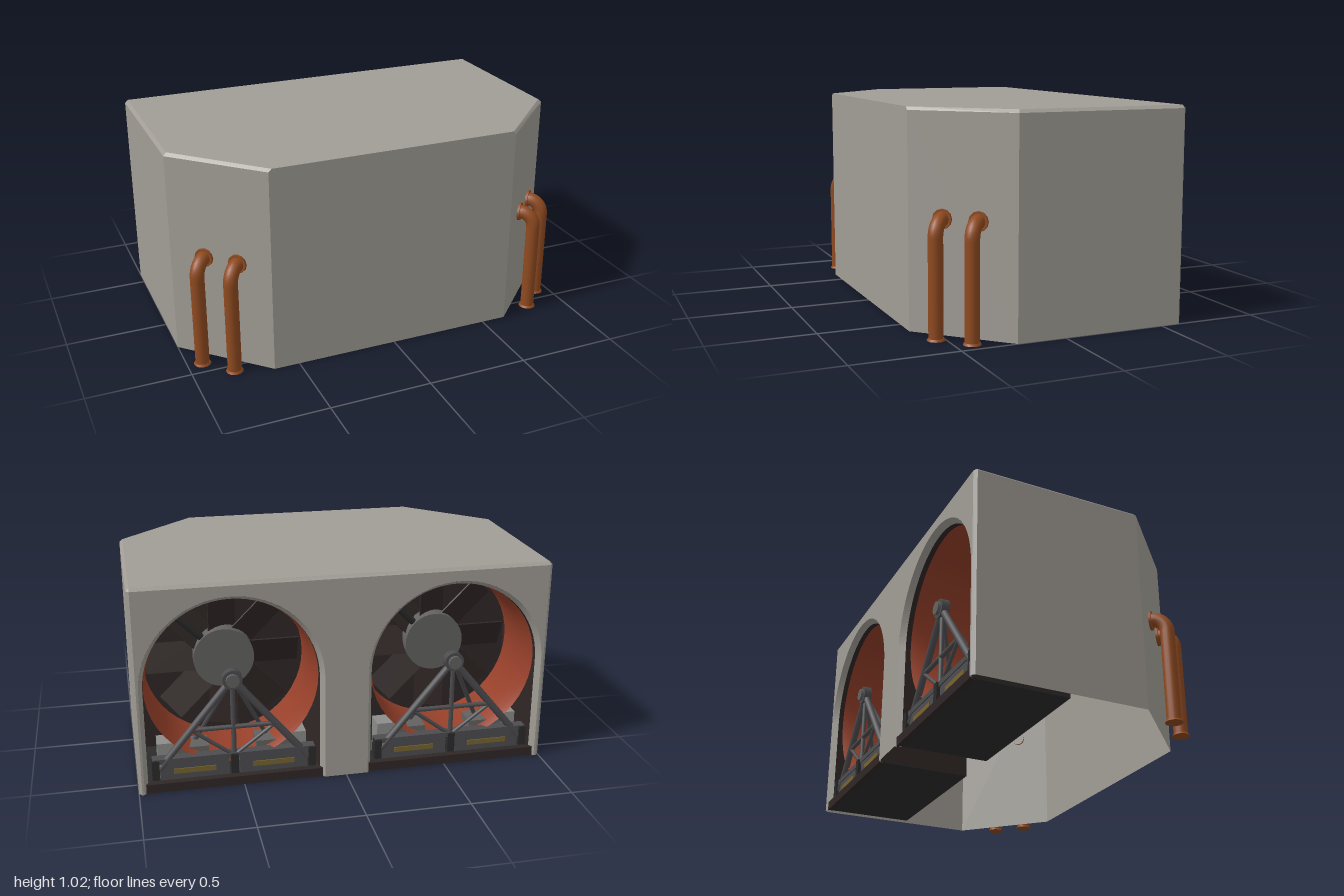
import * as THREE from 'three';

const mat = (name, color, side = THREE.FrontSide) => {
  const m = new THREE.MeshStandardMaterial({ color, side });
  m.name = name;
  return m;
};

export function createModel() {
  const model = new THREE.Group();
  model.name = 'fanHousing';
  const D = THREE.DoubleSide;
  const concrete = mat('concrete grey', 0xa19d96, D);
  const copper = mat('copper brown', 0x8f4a20);
  const rust = mat('rust red', 0x97402a, D);
  const dark = mat('dark lining', 0x302726, D);
  const floorMat = mat('floor charcoal', 0x2b2b2b);
  const steel = mat('strut steel', 0x4d4d50);
  const hubGrey = mat('hub grey', 0x636261);
  const lightGrey = mat('light grey', 0x8c8c8a);
  const brass = mat('dull brass', 0x76642e);

  const add = (parent, name, geo, material, x = 0, y = 0, z = 0) => {
    const m = new THREE.Mesh(geo, material);
    m.name = name;
    m.position.set(x, y, z);
    parent.add(m);
    return m;
  };
  const box = (parent, name, w, h, d, material, x, y, z) =>
    add(parent, name, new THREE.BoxGeometry(w, h, d), material, x, y, z);
  const disc = (parent, name, r, d, material, x, y, z, sides = 32) =>
    add(parent, name, new THREE.CylinderGeometry(r, r, d, sides).rotateX(Math.PI / 2), material, x, y, z);
  const strut = (parent, name, a, b, r, material) => {
    const p = new THREE.Vector3(...a), q = new THREE.Vector3(...b);
    const dir = q.clone().sub(p);
    const m = add(parent, name, new THREE.CylinderGeometry(r, r, dir.length(), 8), material);
    m.position.copy(p).add(q).multiplyScalar(0.5);
    m.quaternion.setFromUnitVectors(new THREE.Vector3(0, 1, 0), dir.normalize());
    return m;
  };
  // Flat or smooth strip between two equal rows of points
  const strip = (a, b, smooth = false) => {
    const pos = [], idx = [];
    a.forEach((p, i) => pos.push(...p, ...b[i]));
    for (let i = 0; i < a.length - 1; i++) {
      const k = i * 2;
      idx.push(k, k + 2, k + 1, k + 1, k + 2, k + 3);
    }
    let g = new THREE.BufferGeometry();
    g.setAttribute('position', new THREE.Float32BufferAttribute(pos, 3));
    g.setIndex(idx);
    if (!smooth) g = g.toNonIndexed();
    g.computeVertexNormals();
    return g;
  };

  // Housing shell: open below, with a bevelled top
  const foot = [[0.985, -0.605], [1, -0.59], [1, 0.235], [0.625, 0.605],
    [-0.625, 0.605], [-1, 0.235], [-1, -0.59], [-0.985, -0.605]];
  const lid = [[0.985, -0.59], [0.985, -0.59], [0.985, 0.229], [0.61, 0.605],
    [-0.61, 0.605], [-0.985, 0.229], [-0.985, -0.59], [-0.985, -0.59]];
  const ring = (pts, y) => pts.map(([x, z]) => [x, y, z]);
  const closed = (r) => [...r, r[0]];
  add(model, 'outerWalls', strip(ring(foot, 1.005), ring(foot, 0)), concrete);
  add(model, 'topBevel', strip(closed(ring(lid, 1.02)), closed(ring(foot, 1.005))), concrete);
  const roof = new THREE.Shape(lid.slice(1, 7).map(([x, z]) => new THREE.Vector2(x, -z)));
  add(model, 'roof', new THREE.ShapeGeometry(roof).rotateX(-Math.PI / 2), concrete, 0, 1.02, 0);

  // Back wall with two arched openings
  const CX = 0.54, CY = 0.52, R = 0.434;
  const back = new THREE.Shape();
  back.moveTo(-0.985, 0);
  for (const cx of [-CX, CX]) {
    back.lineTo(cx - R, 0);
    back.lineTo(cx - R, CY);
    back.absarc(cx, CY, R, Math.PI, 0, true);
    back.lineTo(cx + R, 0);
  }
  back.lineTo(0.985, 0);
  back.lineTo(0.985, 1.005);
  back.lineTo(-0.985, 1.005);
  add(model, 'backWall', new THREE.ShapeGeometry(back, 32), concrete, 0, 0, -0.605);

  const arch = (r, z) => {
    const pts = [[-r, 0, z]];
    for (let i = 0; i <= 32; i++) {
      const a = Math.PI * (1 - i / 32);
      pts.push([r * Math.cos(a), CY + r * Math.sin(a), z]);
    }
    return [...pts, [r, 0, z]];
  };

  const buildBay = (cx) => {
    const bay = new THREE.Group();
    bay.name = 'fanBay';
    bay.position.x = cx;
    model.add(bay);

    // Arched rim, dark lining, end wall and floor
    add(bay, 'archRim', strip(arch(R, -0.605), arch(0.414, -0.575), true), concrete);
    add(bay, 'bayLining', strip(arch(0.42, -0.58), arch(0.42, -0.13), true), dark);
    const end = new THREE.Shape(arch(0.42, 0).map(([x, y]) => new THREE.Vector2(x, y)));
    add(bay, 'bayEndWall', new THREE.ShapeGeometry(end), dark, 0, 0, -0.13);
    box(bay, 'bayFloor', 0.84, 0.012, 0.46, floorMat, 0, 0.008, -0.36);
    box(bay, 'floorSill', 0.85, 0.045, 0.03, dark, 0, 0.0235, -0.583);

    // Flared duct ring
    const duct = [[0.412, -0.55], [0.4, -0.51], [0.392, -0.44], [0.39, -0.34], [0.395, -0.22]];
    add(bay, 'ductRing', new THREE.LatheGeometry(duct.map(([r, z]) => new THREE.Vector2(r, z)), 48)
      .rotateX(Math.PI / 2), rust, 0, CY, 0);

    // Fan: hub, blades and mounting arm
    disc(bay, 'fanHub', 0.15, 0.08, hubGrey, 0, CY, -0.21);
    for (let i = 0; i < 8; i++) {
      const a = (i / 8) * Math.PI * 2;
      const blade = box(bay, 'fanBlade', 0.25, 0.15, 0.008, dark,
        Math.cos(a) * 0.255, CY + Math.sin(a) * 0.255, -0.185);
      blade.rotation.set(0, 0, a);
      blade.rotateX(0.4);
    }
    strut(bay, 'motorArm', [0.1, CY + 0.1, -0.22], [0.27, CY + 0.27, -0.24], 0.018, floorMat);

    // Triangular bearing frame at the opening
    const z = -0.555, apex = [0, 0.535, z];
    disc(bay, 'bearingCollar', 0.048, 0.04, steel, 0, 0.535, z, 16);
    disc(bay, 'bearingCap', 0.032, 0.02, hubGrey, 0, 0.535, z - 0.025, 16);
    strut(bay, 'centrePost', apex, [0, 0.13, z], 0.012, steel);
    for (const s of [-1, 1]) {
      strut(bay, 'frameLeg', apex, [s * 0.36, 0.1, z], 0.018, steel);
      strut(bay, 'frameBrace', [s * 0.2, 0.29, z], [0, 0.14, z], 0.01, steel);
      strut(bay, 'rearBrace', apex, [s * 0.2, 0.12, -0.4], 0.011, steel);
    }
    strut(bay, 'crossBar', [-0.2, 0.29, z], [0.2, 0.29, z], 0.012, steel);

    // Lower rail with panels, clamps and equipment boxes
    box(bay, 'lowerRail', 0.78, 0.025, 0.05, steel, 0, 0.145, -0.545);
    for (const s of [-1, 1]) {
      box(bay, 'railPanel', 0.33, 0.085, 0.03, steel, s * 0.19, 0.09, -0.55);
      box(bay, 'panelPlate', 0.2, 0.025, 0.006, brass, s * 0.19, 0.09, -0.567);
      box(bay, 'equipmentBox', 0.17, 0.16, 0.12, hubGrey, s * 0.2, 0.1, -0.45);
      box(bay, 'cornerBox', 0.1, 0.19, 0.1, lightGrey, s * 0.31, 0.11, -0.45);
    }
    for (const x of [-0.375, 0, 0.375])
      box(bay, 'railClamp', 0.035, 0.1, 0.05, floorMat, x, 0.105, -0.555);
  };
  buildBay(-CX);
  buildBay(CX);

  // Elbowed pipes on the angled front corners
  const n = Math.SQRT1_2;
  for (const s of [-1, 1]) {
    for (const [x, z] of [[0.803, 0.542], [0.926, 0.42]]) {
      const pipe = new THREE.Group();
      pipe.name = 'cornerPipe';
      pipe.position.set(s * x, 0, z);
      pipe.rotation.y = s * Math.PI / 4;
      model.add(pipe);
      const path = new THREE.CurvePath();
      const v = (y, d) => new THREE.Vector3(0, y, d);
      path.add(new THREE.LineCurve3(v(0, 0), v(0.46, 0)));
      path.add(new THREE.CubicBezierCurve3(v(0.46, 0), v(0.498, 0), v(0.53, -0.03), v(0.53, -0.066)));
      path.add(new THREE.LineCurve3(v(0.53, -0.066), v(0.53, -0.09)));
      add(pipe, 'pipeTube', new THREE.TubeGeometry(path, 48, 0.034, 16), copper);
      disc(pipe, 'wallFlange', 0.046, 0.012, copper, 0, 0.53, -0.072, 12);
      add(pipe, 'baseFlange', new THREE.CylinderGeometry(0.036, 0.042, 0.01, 16), copper, 0, 0.005, 0);
    }
  }
  return model;
}
